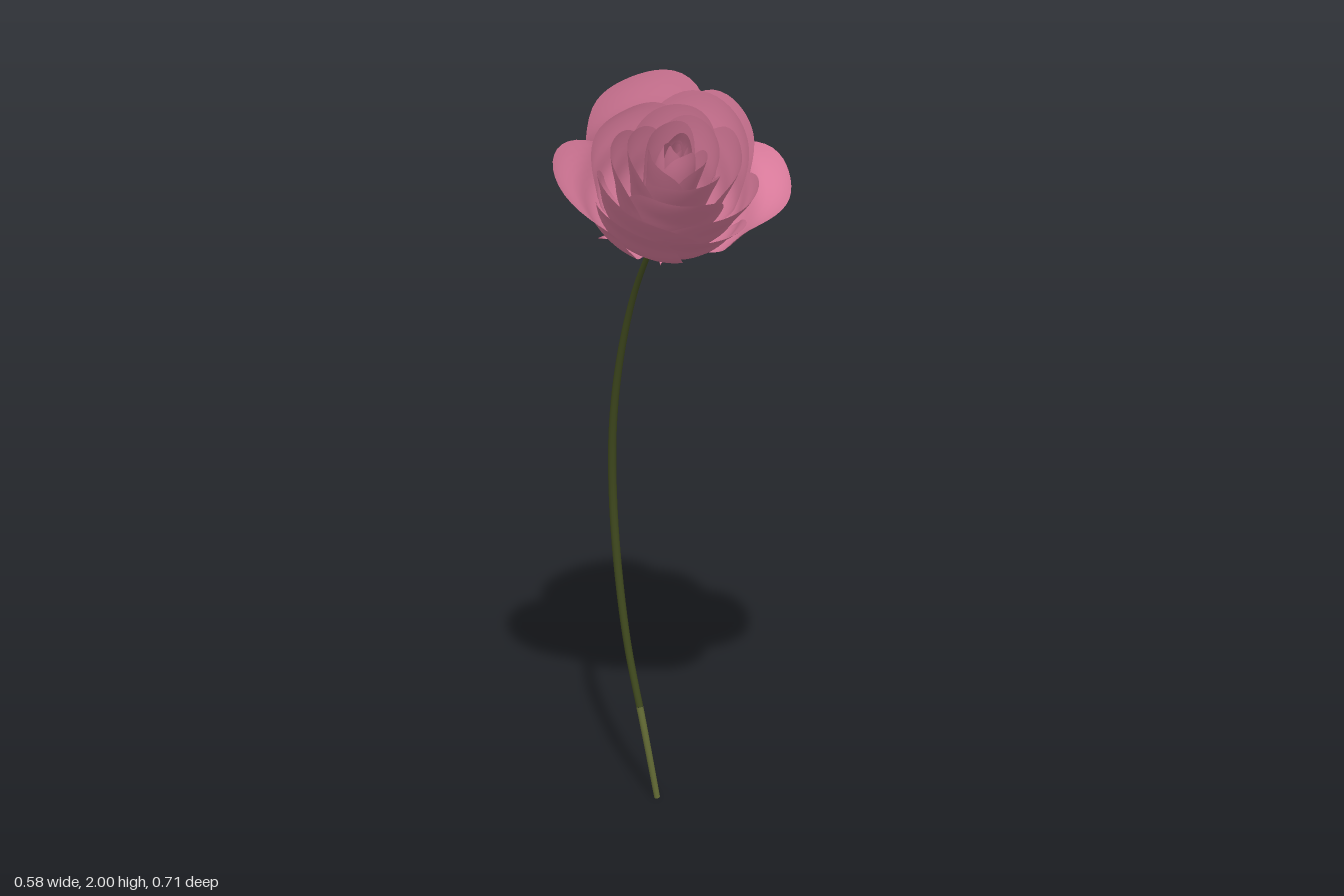
import * as THREE from 'three';

const pink = new THREE.MeshStandardMaterial({ name: 'petal pink', color: 0xdd7d9e, side: THREE.DoubleSide });
const green = new THREE.MeshStandardMaterial({ name: 'stem green', color: 0x434d20 });
const paleGreen = new THREE.MeshStandardMaterial({ name: 'cut stem green', color: 0x687038 });

const profile = (pts) => new THREE.SplineCurve(pts.map(([r, h]) => new THREE.Vector2(r, h)));
// Radius and height along a petal, as fractions of its full size
const OUTER = profile([[0, 0], [0.28, 0.03], [0.54, 0.12], [0.8, 0.38], [0.89, 0.7], [1, 1]]);
const INNER = profile([[0, 0], [0.45, 0.1], [0.85, 0.4], [0.98, 0.72], [1.04, 1]]);
const HEART = profile([[0, 0], [0.6, 0.2], [1, 0.55], [0.95, 0.8], [0.72, 1]]);

function mesh(name, geometry, material) {
  const m = new THREE.Mesh(geometry, material);
  m.name = name;
  return m;
}

// Bends a flat grid by rule(u, t), with u across (-1..1) and t along (0..1)
function bentSheet(nu, nt, rule) {
  const g = new THREE.PlaneGeometry(2, 1, nu, nt);
  const p = g.attributes.position;
  for (let i = 0; i < p.count; i++) p.setXYZ(i, ...rule(p.getX(i), p.getY(i) + 0.5));
  g.computeVertexNormals();
  return g;
}

// A cupped petal around the bloom axis; angle 0 faces front, 90 faces +x.
// cut and power shape the rounded rim, lip and drop roll its tip outwards.
function petal(name, { deg, R, H, W, lip = 0, drop = 0.5, curve, spiral, cut = 0.42, power = 2.6 }) {
  const a0 = THREE.MathUtils.degToRad(deg);
  const geometry = bentSheet(24, 20, (u, t) => {
    const s = t * (1 - cut * Math.abs(u) ** power);
    const q = curve.getPoint(s);
    const flare = lip * THREE.MathUtils.smoothstep(s, 0.6, 1) * (1 - u * u);
    const wave = 0.03 * s * s * Math.sin(4 * u + a0 * 3);
    const r = R * q.x * (1 + spiral * u * s + wave) + flare;
    const h = H * q.y * (1 + wave * 0.8) - flare * drop * s;
    const a = a0 + u * W;
    return [Math.sin(a) * r, h, Math.cos(a) * r];
  });
  return mesh(name, geometry, pink);
}

// Narrow pointed leaf under the bloom, its tip curling away
function sepal(deg, length, curl) {
  const a = THREE.MathUtils.degToRad(deg);
  const geometry = bentSheet(4, 12, (u, t) => {
    const side = u * 0.021 * Math.sin(Math.PI * t ** 0.75);
    const r = 0.008 + length * t;
    const h = 0.12 * r - 0.006 + curl * t ** 3 + 0.006 * u * u;
    return [Math.sin(a) * r + Math.cos(a) * side, h, Math.cos(a) * r - Math.sin(a) * side];
  });
  return mesh('sepal', geometry, pink);
}

// Tube whose radius varies along its path
function taperedTube(points, segments, radius) {
  const path = new THREE.CatmullRomCurve3(points);
  const g = new THREE.TubeGeometry(path, segments, 1, 10);
  const p = g.attributes.position, v = new THREE.Vector3();
  for (let i = 0; i < p.count; i++) {
    const u = Math.floor(i / 11) / segments;
    const c = path.getPointAt(u);
    v.fromBufferAttribute(p, i).sub(c).multiplyScalar(radius(u)).add(c);
    p.setXYZ(i, v.x, v.y, v.z);
  }
  return g;
}

export function createModel() {
  const model = new THREE.Group();
  model.name = 'rose';

  // Long curved stem, paler near the cut end
  const path = new THREE.CatmullRomCurve3([
    [0.085, 0, -0.335], [0.048, 0.2, -0.327], [0.014, 0.4, -0.341], [-0.009, 0.6, -0.344],
    [-0.026, 0.8, -0.328], [-0.037, 1, -0.287], [-0.037, 1.2, -0.222], [-0.028, 1.4, -0.132],
    [-0.014, 1.58, -0.015], [-0.006, 1.64, 0.024],
  ].map((p) => new THREE.Vector3(...p)));
  const pts = path.getSpacedPoints(56);
  const r = (u) => 0.007 + 0.003 * Math.sin(Math.PI * Math.min(1, u * 1.1));
  const split = 8 / 56;
  model.add(mesh('lowerStem', taperedTube(pts.slice(0, 9), 10, (u) => r(u * split)), paleGreen));
  model.add(mesh('stem', taperedTube(pts.slice(8), 60, (u) => r(split + u * (1 - split))), green));
  const cap = mesh('stemEnd', new THREE.CircleGeometry(0.007, 10), paleGreen);
  cap.rotation.x = Math.PI / 2;
  cap.position.copy(pts[0]);
  model.add(cap);

  // Bloom leaning forward on the stem
  const bloom = new THREE.Group();
  bloom.name = 'bloom';
  bloom.position.set(-0.003, 1.635, 0.025);
  bloom.rotation.x = 0.51;
  model.add(bloom);

  // Swollen base joining stem and bloom
  const hip = [[0.008, -0.035], [0.013, -0.026], [0.019, -0.01], [0.02, 0.002], [0, 0.008]];
  bloom.add(mesh('receptacle', new THREE.LatheGeometry(hip.map((p) => new THREE.Vector2(...p)), 14), green));

  [[-80, 0.16, 0.01], [-15, 0.11, -0.003], [58, 0.14, -0.003], [115, 0.16, 0.01], [190, 0.11, -0.015]]
    .forEach((s) => bloom.add(sepal(...s)));

  // Large open outer petals
  [
    { deg: -94, R: 0.235, H: 0.27, W: 1.0, lip: 0.055, drop: 0.4, cut: 0.4, power: 1.7 },
    { deg: 84, R: 0.235, H: 0.235, W: 0.85, lip: 0.06, drop: 0.8, cut: 0.35, power: 1.8 },
    { deg: 186, R: 0.245, H: 0.278, W: 0.95, lip: 0.025, cut: 0.34 },
    { deg: 8, R: 0.21, H: 0.255, W: 0.95, lip: 0.028 },
    { deg: -46, R: 0.215, H: 0.25, W: 0.8, lip: 0.02 },
    { deg: 128, R: 0.225, H: 0.268, W: 0.85, lip: 0.01 },
  ].forEach((o) => bloom.add(petal('outerPetal', { ...o, curve: OUTER, spiral: 0.04 })));

  // Rings of petals tightening toward the heart: count, first angle, radius, height, lip, profile
  [
    [4, 35, 0.182, 0.272, 0.016, INNER],
    [4, 75, 0.138, 0.292, 0.012, INNER],
    [3, 5, 0.1, 0.304, 0.012, INNER],
    [3, 60, 0.066, 0.312, 0.006, INNER],
    [3, 10, 0.048, 0.318, 0, HEART],
    [3, 65, 0.03, 0.32, 0, HEART],
    [2, 20, 0.015, 0.316, 0, HEART],
  ].forEach(([n, first, R, H, lip, curve], ring) => {
    for (let i = 0; i < n; i++) {
      const vary = Math.sin(i * 2.4 + ring * 1.7);
      bloom.add(petal(ring < 4 ? 'innerPetal' : 'heartPetal', {
        deg: first + (360 / n) * i + vary * 6,
        R: R * (1 + 0.03 * vary), H: H * (1 + 0.03 * vary), W: (1.45 * Math.PI) / n,
        lip, curve, spiral: 0.1,
      }));
    }
  });

  return model;
}
